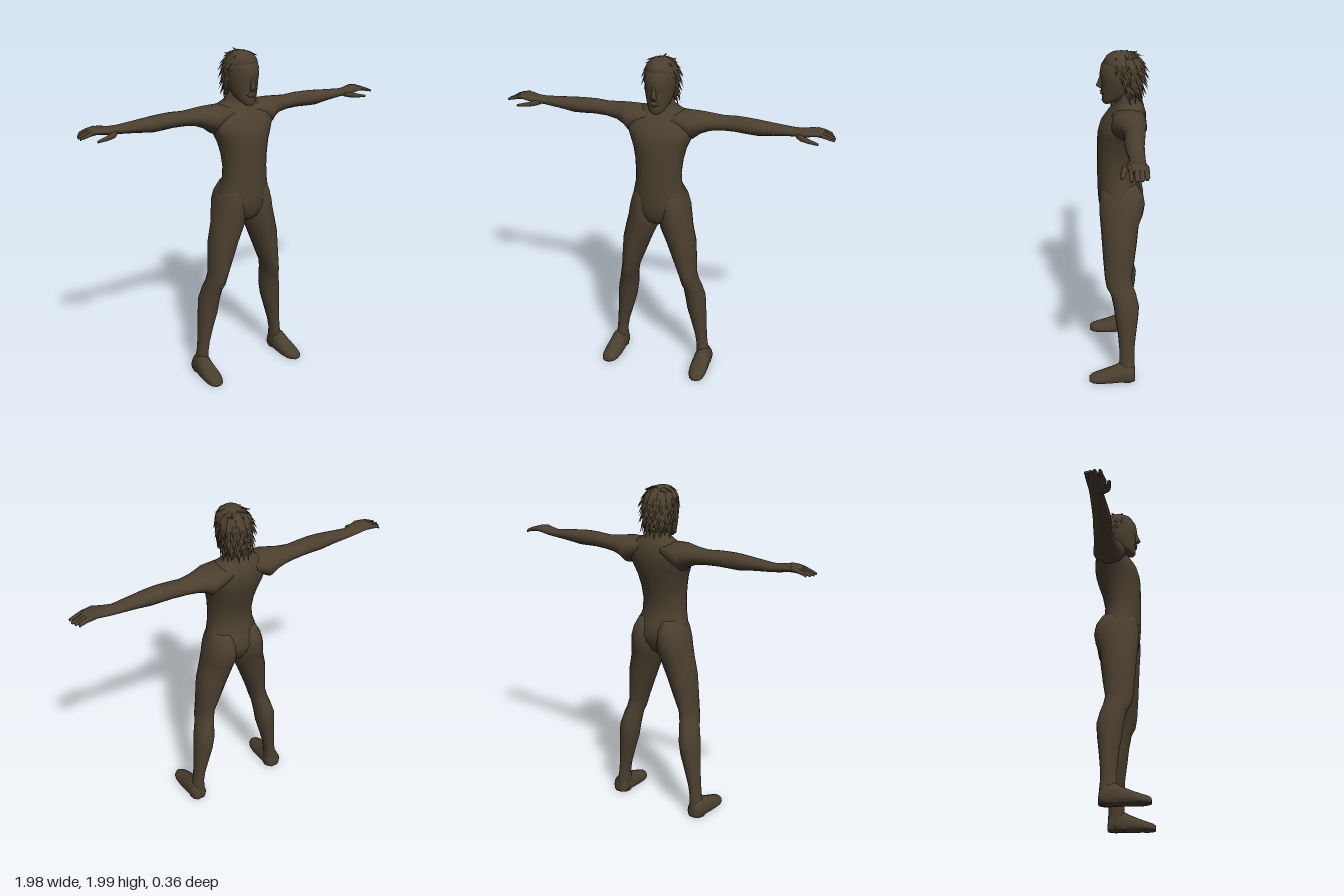
import * as THREE from 'three';
import { mergeGeometries } from 'three/addons/utils/BufferGeometryUtils.js';

const brown = new THREE.MeshStandardMaterial({ color: 0x4b3f2f });
brown.name = 'dark brown';

// Loft of ellipses along an axis. Ring: [t, u0, u1, v0, v1], t ascending.
// Axis x: u=y v=z; axis y: u=z v=x; axis z: u=x v=y.
function loft(axis, rings, segs = 18) {
  const a = 'xyz'.indexOf(axis), pos = [], idx = [];
  const put = (t, u, v) => {
    const p = [0, 0, 0];
    p[a] = t;
    p[(a + 1) % 3] = u;
    p[(a + 2) % 3] = v;
    pos.push(p[0], Math.max(0, p[1]), p[2]);
  };
  for (const [t, u0, u1, v0, v1] of rings) {
    for (let i = 0; i < segs; i++) {
      const k = (i / segs) * Math.PI * 2;
      put(t, (u0 + u1) / 2 + (u1 - u0) / 2 * Math.cos(k), (v0 + v1) / 2 + (v1 - v0) / 2 * Math.sin(k));
    }
  }
  const n = rings.length;
  for (const r of [rings[0], rings[n - 1]]) put(r[0], (r[1] + r[2]) / 2, (r[3] + r[4]) / 2);
  for (let i = 0; i < segs; i++) {
    const j = (i + 1) % segs;
    for (let r = 0; r < n - 1; r++) {
      const b = r * segs, c = b + segs;
      idx.push(b + i, b + j, c + i, b + j, c + j, c + i);
    }
    const top = (n - 1) * segs;
    idx.push(n * segs, j, i, n * segs + 1, top + i, top + j);
  }
  const g = new THREE.BufferGeometry();
  g.setAttribute('position', new THREE.Float32BufferAttribute(pos, 3));
  g.setIndex(idx);
  g.computeVertexNormals();
  return g;
}

// Upright loft symmetric in x. Ring: [y, back z, front z, half width]
const body = (rings, segs) => loft('y', rings.map(([y, b, f, w]) => [y, b, f, -w, w]), segs);

function mirrored(geo) {
  const g = geo.clone().scale(-1, 1, 1), ix = g.index.array;
  for (let i = 0; i < ix.length; i += 3) [ix[i], ix[i + 1]] = [ix[i + 1], ix[i]];
  g.computeVertexNormals();
  return g;
}

// One flat tapering lock of hair, rooted at p and pointing along dir
function lock(p, dir, out, width, len) {
  const d = dir.clone().normalize();
  const side = new THREE.Vector3().crossVectors(d, out).normalize();
  const nor = new THREE.Vector3().crossVectors(side, d);
  const m = new THREE.Matrix4().makeBasis(side, d, nor).setPosition(p);
  const g = new THREE.ConeGeometry(width, len, 4).toNonIndexed();
  g.translate(0, len / 2, 0).scale(1, 1, 0.4).applyMatrix4(m);
  g.computeVertexNormals();
  return g;
}

export function createModel() {
  const model = new THREE.Group();
  model.name = 'figure';
  const add = (name, geo) => {
    const mesh = new THREE.Mesh(geo, brown);
    mesh.name = name;
    model.add(mesh);
  };
  const pair = (name, geo) => {
    add('left' + name, geo);
    add('right' + name, mirrored(geo));
  };

  // Trunk and neck
  add('torso', body([
    [0.985, -0.05, 0.04, 0.02], [1.02, -0.1, 0.09, 0.09], [1.08, -0.135, 0.108, 0.17],
    [1.13, -0.148, 0.113, 0.172], [1.2, -0.13, 0.115, 0.153], [1.25, -0.108, 0.116, 0.14],
    [1.32, -0.104, 0.116, 0.136], [1.4, -0.12, 0.116, 0.143], [1.47, -0.143, 0.116, 0.158],
    [1.53, -0.16, 0.11, 0.183], [1.58, -0.168, 0.095, 0.205], [1.63, -0.168, 0.06, 0.2],
    [1.67, -0.155, 0.02, 0.17], [1.695, -0.14, 0.005, 0.11], [1.72, -0.125, 0.0, 0.07],
    [1.8, -0.11, 0.01, 0.062],
  ], 24));

  // Arms
  pair('Arm', loft('x', [
    [0.08, 1.6, 1.69, -0.16, 0.03], [0.19, 1.53, 1.692, -0.163, 0.035], [0.23, 1.562, 1.688, -0.158, 0.01],
    [0.28, 1.582, 1.682, -0.152, -0.015], [0.35, 1.592, 1.676, -0.145, -0.03], [0.43, 1.595, 1.682, -0.14, -0.03],
    [0.5, 1.592, 1.682, -0.134, -0.026], [0.56, 1.59, 1.679, -0.13, -0.027], [0.65, 1.602, 1.67, -0.127, -0.035],
    [0.76, 1.612, 1.66, -0.125, -0.046], [0.81, 1.617, 1.662, -0.126, -0.03], [0.86, 1.628, 1.672, -0.133, -0.022],
    [0.9, 1.634, 1.668, -0.135, -0.03], [0.925, 1.638, 1.66, -0.132, -0.035],
  ]));

  // Fingers and thumb
  [[-0.121, 0.968], [-0.098, 0.982], [-0.075, 0.99], [-0.045, 0.99]].forEach(([z, tip], i) => {
    const w = i === 3 ? 0.011 : 0.014;
    pair('Finger' + (i + 1), loft('x', [
      [0.88, 1.638, 1.668, z - w, z + w], [0.925, 1.634, 1.66, z - w, z + w],
      [0.96, 1.626, 1.646, z - w, z + w], [tip, 1.62, 1.634, z - w * 0.7, z + w * 0.7],
    ], 8));
  });
  pair('Thumb', loft('x', [
    [0.78, 1.615, 1.645, -0.075, -0.035], [0.81, 1.609, 1.642, -0.05, -0.005],
    [0.85, 1.605, 1.632, -0.03, 0.002], [0.91, 1.604, 1.617, -0.013, 0.006],
  ], 8));

  // Legs: [y, back z, front z, inner x, outer x]
  pair('Leg', loft('y', [
    [0, -0.105, -0.005, 0.237, 0.335], [0.05, -0.106, 0, 0.238, 0.325], [0.13, -0.1, -0.008, 0.24, 0.307],
    [0.2, -0.1, -0.008, 0.228, 0.301], [0.3, -0.11, 0, 0.2, 0.296], [0.4, -0.122, 0.015, 0.172, 0.291],
    [0.48, -0.128, 0.025, 0.161, 0.285], [0.56, -0.11, 0.042, 0.153, 0.264], [0.6, -0.095, 0.066, 0.145, 0.252],
    [0.66, -0.084, 0.077, 0.132, 0.24], [0.76, -0.1, 0.085, 0.094, 0.235], [0.87, -0.115, 0.092, 0.052, 0.229],
    [0.97, -0.126, 0.099, 0.01, 0.207], [1.03, -0.15, 0.104, 0.0, 0.194], [1.1, -0.162, 0.106, 0.0, 0.182],
    [1.16, -0.152, 0.1, 0.005, 0.165], [1.22, -0.115, 0.08, 0.03, 0.135],
  ]));

  // Feet, flat underneath
  pair('Foot', loft('z', [
    [-0.105, 0.26, 0.315, -0.02, 0.05], [-0.09, 0.24, 0.335, -0.04, 0.1], [-0.02, 0.236, 0.338, -0.05, 0.12],
    [0.02, 0.235, 0.342, -0.04, 0.096], [0.08, 0.235, 0.345, -0.03, 0.07], [0.13, 0.243, 0.342, -0.025, 0.052],
    [0.16, 0.257, 0.332, -0.02, 0.042], [0.176, 0.275, 0.315, -0.01, 0.03],
  ]));

  // Head and face
  add('head', body([
    [1.695, 0.035, 0.076, 0.024], [1.71, 0.005, 0.086, 0.043], [1.735, -0.06, 0.085, 0.06],
    [1.77, -0.11, 0.088, 0.073], [1.81, -0.13, 0.089, 0.083], [1.84, -0.14, 0.09, 0.086],
    [1.87, -0.143, 0.097, 0.088], [1.92, -0.14, 0.088, 0.086], [1.96, -0.11, 0.055, 0.066],
    [1.985, -0.06, 0.01, 0.03],
  ], 24));
  add('nose', body([
    [1.782, 0.07, 0.096, 0.014], [1.795, 0.07, 0.118, 0.018], [1.81, 0.07, 0.113, 0.014],
    [1.85, 0.07, 0.098, 0.01], [1.87, 0.07, 0.095, 0.008],
  ], 8));
  add('lips', body([
    [1.743, 0.07, 0.086, 0.012], [1.751, 0.06, 0.096, 0.026], [1.758, 0.06, 0.092, 0.028],
    [1.765, 0.06, 0.098, 0.026], [1.774, 0.07, 0.09, 0.012],
  ], 10));

  // Hair cap
  add('hairCap', body([
    [1.74, -0.125, -0.045, 0.074], [1.8, -0.14, -0.02, 0.087], [1.87, -0.15, 0.0, 0.094],
    [1.91, -0.15, 0.06, 0.095], [1.935, -0.143, 0.078, 0.09], [1.965, -0.12, 0.06, 0.073],
    [1.985, -0.08, 0.03, 0.045], [1.993, -0.05, 0.0, 0.015],
  ], 20));

  // Hair locks: [root y, half width, half depth, locks, sweep to each side, outward lean, length]
  const locks = [];
  [
    [1.978, 0.04, 0.05, 9, 2.9, 1.3, 0.055], [1.955, 0.07, 0.08, 11, 2.5, 0.9, 0.06],
    [1.925, 0.087, 0.1, 13, 2.0, 0.6, 0.065], [1.89, 0.09, 0.105, 12, 1.75, 0.45, 0.07],
    [1.85, 0.088, 0.102, 11, 1.6, 0.35, 0.075], [1.81, 0.084, 0.096, 10, 1.45, 0.25, 0.08],
    [1.775, 0.078, 0.085, 9, 1.35, 0.2, 0.07],
  ].forEach(([y, rx, rz, n, sweep, lean, len], row) => {
    for (let i = 0; i < n; i++) {
      const k = (i / (n - 1) * 2 - 1) * sweep;
      const out = new THREE.Vector3(Math.sin(k), 0, -Math.cos(k));
      const p = new THREE.Vector3(out.x * rx, y, -0.04 + out.z * rz);
      const dir = out.clone().multiplyScalar(lean).add(new THREE.Vector3(0, row ? -1 : -0.35, -0.2));
      locks.push(lock(p, dir, out, 0.02, len * (0.85 + 0.3 * ((i * 7 + row * 3) % 5) / 4)));
    }
  });
  // Swept-back tufts on the crown
  for (let i = 0; i < 7; i++) {
    const x = (i - 3) * 0.017;
    locks.push(lock(new THREE.Vector3(x, 1.978 - Math.abs(x) * 0.4, (i % 3) * 0.02 - 0.06),
      new THREE.Vector3(x * 3, 0.28, -1), new THREE.Vector3(0, 1, 0), 0.018, 0.06));
  }
  add('hairLocks', mergeGeometries(locks));

  return model;
}
